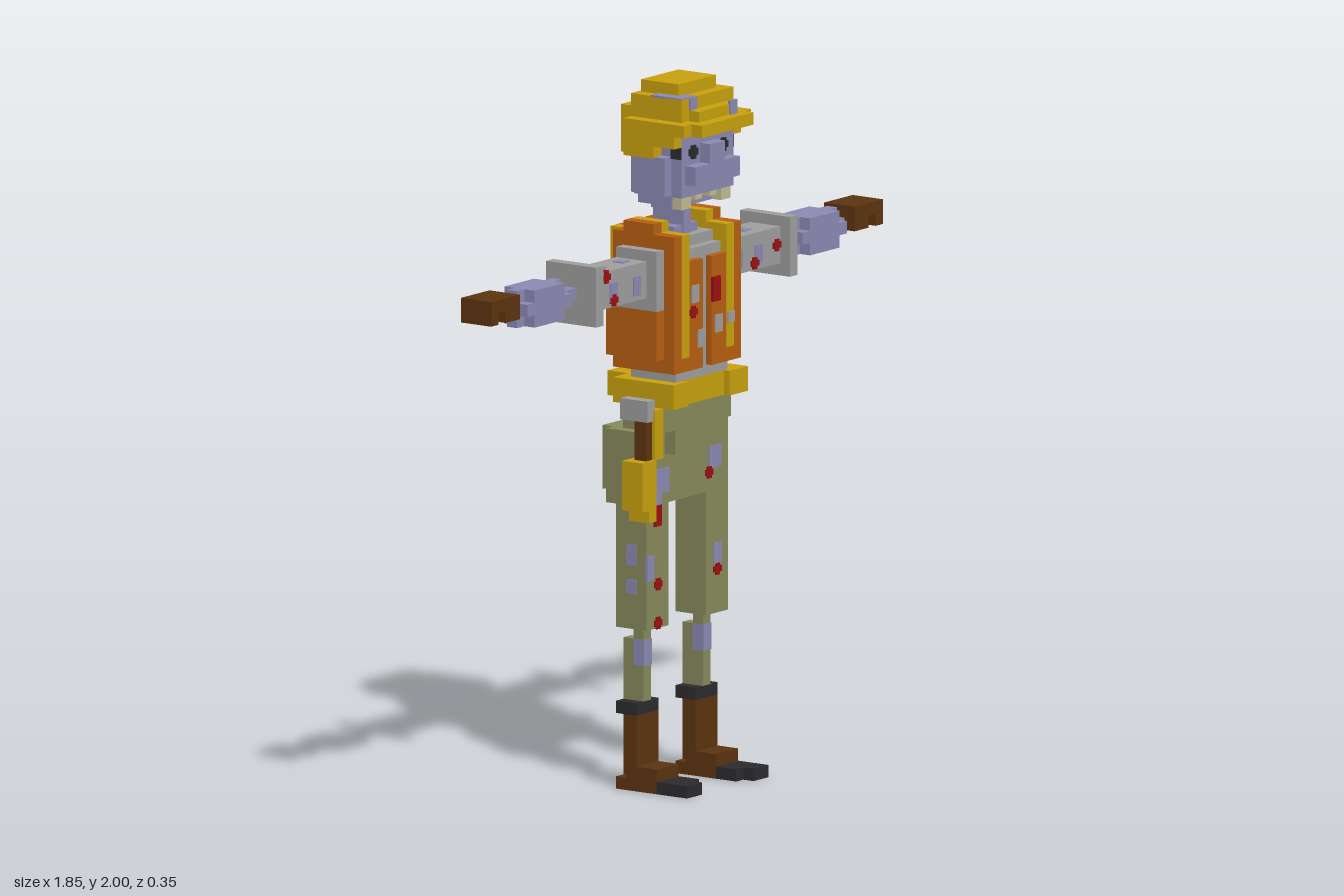
import * as THREE from 'three';

const mat = (name, color) => {
  const m = new THREE.MeshStandardMaterial({ color });
  m.name = name;
  return m;
};

export function createModel() {
  const skin = mat('lavender skin', 0x8b8ab4), yellow = mat('safety yellow', 0xc9a10e);
  const orange = mat('vest orange', 0xb85f10), gray = mat('shirt gray', 0x9f9f9f);
  const olive = mat('trouser olive', 0x888a5c), brown = mat('leather brown', 0x5c3410);
  const black = mat('black', 0x2c2c2e), red = mat('blood red', 0x9c1012);
  const bone = mat('tooth cream', 0xc2bd92);

  const root = new THREE.Group();
  root.name = 'worker';
  const group = (name) => {
    const g = new THREE.Group();
    g.name = name;
    root.add(g);
    return g;
  };
  // Box from its limits along x, y and z
  const box = (g, name, m, x0, x1, y0, y1, z0, z1) => {
    const mesh = new THREE.Mesh(new THREE.BoxGeometry(x1 - x0, y1 - y0, z1 - z0), m);
    mesh.position.set((x0 + x1) / 2, (y0 + y1) / 2, (z0 + z1) / 2);
    mesh.name = name;
    g.add(mesh);
  };
  // The same box on both sides of the body
  const pair = (g, name, m, x0, x1, ...yz) => {
    box(g, name + 'Left', m, x0, x1, ...yz);
    box(g, name + 'Right', m, -x1, -x0, ...yz);
  };
  // Thin plates facing z: a rectangle, and a small plus
  const T = 0.004;
  const patch = (g, name, m, x0, x1, y0, y1, z) => box(g, name, m, x0, x1, y0, y1, z - T, z + T);
  const plus = (g, name, m, x, y, z, r = 0.017) => {
    patch(g, name, m, x - r, x + r, y - r / 2, y + r / 2, z);
    patch(g, name, m, x - r / 2, x + r / 2, y - r, y + r, z);
  };

  // Boots
  const boots = group('boots');
  pair(boots, 'toeCap', black, 0.088, 0.192, 0, 0.035, 0.07, 0.14);
  pair(boots, 'toeTip', black, 0.122, 0.192, 0, 0.035, 0.14, 0.175);
  pair(boots, 'foot', brown, 0.088, 0.192, 0, 0.07, -0.035, 0.07);
  pair(boots, 'heel', brown, 0.088, 0.192, 0, 0.035, -0.07, -0.035);
  pair(boots, 'bootShaft', brown, 0.088, 0.192, 0.07, 0.215, -0.035, 0);
  pair(boots, 'bootBackSeam', brown, 0.122, 0.158, 0.035, 0.215, -0.07, -0.035);
  pair(boots, 'bootCuff', black, 0.088, 0.192, 0.215, 0.25, -0.07, 0);

  // Legs
  const legs = group('legs');
  pair(legs, 'shin', olive, 0.122, 0.158, 0.25, 0.425, -0.07, 0);
  pair(legs, 'knee', olive, 0.122, 0.158, 0.425, 0.46, -0.035, 0);
  pair(legs, 'shinTear', skin, 0.121, 0.159, 0.35, 0.425, -0.035, 0.002);
  pair(legs, 'thigh', olive, 0.088, 0.192, 0.46, 0.81, -0.07, 0.035);
  pair(legs, 'thighSideTear', skin, 0.188, 0.194, 0.64, 0.7, -0.035, 0);
  pair(legs, 'kneeSideTear', skin, 0.188, 0.194, 0.56, 0.6, -0.035, 0);
  patch(legs, 'thighTear', skin, -0.193, -0.16, 0.6, 0.67, 0.035);
  patch(legs, 'thighTear', skin, 0.122, 0.158, 0.6, 0.66, 0.035);
  patch(legs, 'thighStain', red, -0.16, -0.125, 0.75, 0.81, 0.036);
  for (const [x, y] of [[-0.14, 0.585], [-0.14, 0.475], [0.14, 0.585]]) plus(legs, 'legStain', red, x, y, 0.036);
  for (const x of [-0.13, 0.14]) plus(legs, 'legBackStain', red, x, 0.6, -0.071);

  // Hips
  const hips = group('hips');
  box(hips, 'pelvis', olive, -0.193, 0.192, 0.81, 1.02, -0.105, 0.035);
  box(hips, 'seatBack', olive, -0.16, 0.158, 0.84, 1.02, -0.14, -0.105);
  box(hips, 'waist', olive, -0.16, 0.158, 1.02, 1.09, -0.07, 0.07);
  box(hips, 'frontPanel', olive, -0.105, 0.12, 0.95, 1.02, 0.035, 0.07);
  patch(hips, 'hipTear', skin, -0.16, -0.125, 0.81, 0.87, 0.035);
  patch(hips, 'hipTear', skin, -0.16, -0.09, 0.84, 0.91, 0.036);
  patch(hips, 'hipTear', skin, 0.1, 0.157, 0.875, 0.95, 0.035);
  plus(hips, 'hipStain', red, 0.1, 0.865, 0.037);
  plus(hips, 'hipBackStain', red, 0.13, 0.97, -0.141);
  plus(hips, 'hipBackStain', red, 0.1, 0.92, -0.141);

  // Tool belt with pouches
  const belt = group('toolBelt');
  box(belt, 'beltBand', yellow, -0.16, 0.158, 1.09, 1.16, -0.105, 0.085);
  box(belt, 'leftPouch', yellow, 0.105, 0.192, 1.09, 1.16, -0.035, 0.105);
  box(belt, 'rightPouch', yellow, -0.16, -0.09, 1.09, 1.16, 0, 0.105);
  box(belt, 'backPouch', yellow, -0.09, 0.09, 1.09, 1.16, -0.175, -0.105);

  // Holster and hammer on the right hip
  const holster = group('holster');
  box(holster, 'holsterStrap', yellow, -0.2, -0.16, 0.95, 1.09, 0, 0.07);
  box(holster, 'holsterPouch', yellow, -0.26, -0.193, 0.81, 0.95, 0, 0.07);
  box(holster, 'holsterTip', yellow, -0.228, -0.193, 0.775, 0.81, 0, 0.07);
  box(holster, 'hammerHandle', brown, -0.228, -0.198, 0.95, 1.06, 0.02, 0.06);
  box(holster, 'hammerHead', gray, -0.228, -0.193, 1.06, 1.12, -0.03, 0.065);

  // Shirt and vest
  const torso = group('torso');
  box(torso, 'shirt', gray, -0.122, 0.122, 1.16, 1.53, -0.07, 0.085);
  box(torso, 'collar', gray, -0.09, 0.088, 1.5, 1.56, -0.07, 0.06);
  box(torso, 'collarbone', skin, -0.055, 0.055, 1.53, 1.585, -0.07, 0.03);
  pair(torso, 'vestFront', orange, 0.02, 0.088, 1.19, 1.5, 0.07, 0.105);
  pair(torso, 'vestStripe', yellow, 0.088, 0.122, 1.23, 1.58, 0.035, 0.107);
  pair(torso, 'vestStripeFoot', orange, 0.088, 0.122, 1.19, 1.23, 0.07, 0.105);
  pair(torso, 'vestSide', orange, 0.122, 0.158, 1.19, 1.58, -0.105, 0.105);
  pair(torso, 'vestFlank', orange, 0.158, 0.192, 1.23, 1.37, -0.105, 0.07);
  pair(torso, 'vestShoulder', orange, 0.122, 0.158, 1.58, 1.61, -0.07, 0.035);
  pair(torso, 'shoulderStripe', yellow, 0.088, 0.122, 1.5, 1.61, -0.07, 0.035);
  box(torso, 'vestBack', orange, -0.122, 0.122, 1.19, 1.58, -0.105, -0.07);
  box(torso, 'vestBackPanel', orange, -0.088, 0.088, 1.23, 1.58, -0.14, -0.105);
  pair(torso, 'backStripe', yellow, 0.088, 0.122, 1.25, 1.58, -0.14, -0.105);
  for (const [x, y] of [[-0.03, 1.27], [0.05, 1.3], [-0.06, 1.4]]) {
    patch(torso, 'frontTear', gray, x - 0.017, x + 0.017, y - 0.02, y + 0.03, 0.105);
  }
  patch(torso, 'stripeTear', gray, 0.09, 0.122, 1.3, 1.33, 0.107);
  patch(torso, 'chestStain', red, 0.02, 0.055, 1.37, 1.44, 0.107);
  plus(torso, 'chestStain', red, -0.07, 1.355, 0.107);
  for (const [x, y] of [[0.05, 1.46], [-0.05, 1.4], [0.02, 1.32]]) {
    patch(torso, 'backTear', gray, x - 0.017, x + 0.017, y - 0.017, y + 0.017, -0.14);
  }
  plus(torso, 'backStain', red, 0.01, 1.4, -0.142);
  plus(torso, 'backStain', red, 0.02, 1.26, -0.142);

  // Arms held straight out
  const arms = group('arms');
  pair(arms, 'armhole', gray, 0.158, 0.192, 1.37, 1.54, -0.07, 0.07);
  pair(arms, 'sleeve', gray, 0.192, 0.44, 1.405, 1.51, -0.07, 0.035);
  pair(arms, 'sleeveCuff', gray, 0.44, 0.475, 1.37, 1.54, -0.105, 0.068);
  pair(arms, 'elbow', skin, 0.475, 0.545, 1.44, 1.475, -0.035, 0);
  pair(arms, 'forearm', skin, 0.58, 0.72, 1.405, 1.51, -0.07, 0.035);
  for (const [a, b] of [[0.545, 0.58], [0.72, 0.755]]) {
    pair(arms, 'forearmEndFlat', skin, a, b, 1.44, 1.475, -0.07, 0.035);
    pair(arms, 'forearmEndTall', skin, a, b, 1.405, 1.51, -0.035, 0);
  }
  pair(arms, 'wrist', skin, 0.755, 0.79, 1.44, 1.475, -0.035, 0);
  pair(arms, 'handBack', brown, 0.79, 0.925, 1.475, 1.51, -0.07, 0.035);
  pair(arms, 'palm', brown, 0.79, 0.857, 1.44, 1.475, -0.07, 0.035);
  pair(arms, 'fingers', brown, 0.89, 0.925, 1.44, 1.475, -0.07, 0.035);
  for (const x of [-0.35, -0.24, 0.24, 0.335]) {
    patch(arms, 'sleeveTear', skin, x - 0.017, x + 0.017, 1.42, 1.475, 0.035);
    box(arms, 'sleeveTopTear', skin, x - 0.017, x + 0.017, 1.508, 1.513, -0.035, 0);
  }
  for (const [x, y] of [[-0.385, 1.495], [-0.35, 1.425], [0.315, 1.425], [0.42, 1.46]]) plus(arms, 'sleeveStain', red, x, y, 0.037);
  box(arms, 'sleeveTopStain', red, -0.405, -0.37, 1.508, 1.513, 0, 0.035);

  // Head
  const head = group('head');
  box(head, 'neck', skin, -0.018, 0.018, 1.53, 1.66, -0.07, 0.035);
  box(head, 'jaw', skin, -0.088, 0.088, 1.65, 1.69, -0.07, 0.07);
  pair(head, 'jawCorner', skin, 0.088, 0.122, 1.65, 1.69, 0, 0.07);
  box(head, 'skull', skin, -0.122, 0.122, 1.685, 1.87, -0.07, 0.105);
  pair(head, 'cheek', skin, 0.122, 0.155, 1.69, 1.8, -0.035, 0.07);
  pair(head, 'temple', black, 0.122, 0.126, 1.795, 1.83, 0.07, 0.105);
  box(head, 'nose', skin, -0.035, 0.035, 1.72, 1.83, 0.105, 0.14);
  pair(head, 'cheekbone', skin, 0.035, 0.105, 1.72, 1.775, 0.105, 0.14);
  pair(head, 'tooth', bone, 0.07, 0.115, 1.65, 1.685, 0.07, 0.1);
  pair(head, 'innerTooth', bone, 0.018, 0.05, 1.67, 1.69, 0.07, 0.1);
  for (const x of [-0.07, 0.07]) plus(head, 'eye', black, x, 1.81, 0.108, 0.019);

  // Hard hat
  const hat = group('hardHat');
  box(hat, 'hatBack', yellow, -0.122, 0.122, 1.795, 1.93, -0.105, -0.07);
  pair(hat, 'hatSide', yellow, 0.122, 0.158, 1.795, 1.9, -0.07, 0.035);
  pair(hat, 'hatSideFront', yellow, 0.122, 0.158, 1.83, 1.9, 0.035, 0.105);
  box(hat, 'brim', yellow, -0.158, 0.158, 1.865, 1.9, 0.07, 0.14);
  box(hat, 'brimTip', yellow, -0.122, 0.122, 1.865, 1.9, 0.14, 0.175);
  box(hat, 'hatFront', yellow, -0.088, 0.088, 1.9, 1.93, 0.105, 0.14);
  box(hat, 'domeBase', yellow, -0.122, 0.122, 1.865, 1.965, -0.07, 0.105);
  box(hat, 'domeTop', yellow, -0.088, 0.088, 1.965, 2, -0.06, 0.07);
  patch(hat, 'hatFrontCrack', skin, -0.088, -0.055, 1.93, 1.965, 0.106);
  patch(hat, 'hatFrontCrack', skin, 0.055, 0.088, 1.9, 1.94, 0.14);
  box(hat, 'hatTopCrack', skin, -0.122, -0.088, 1.962, 1.968, 0, 0.07);
  box(hat, 'hatTopCrack', skin, -0.122, -0.06, 1.962, 1.968, 0.07, 0.105);

  return root;
}
